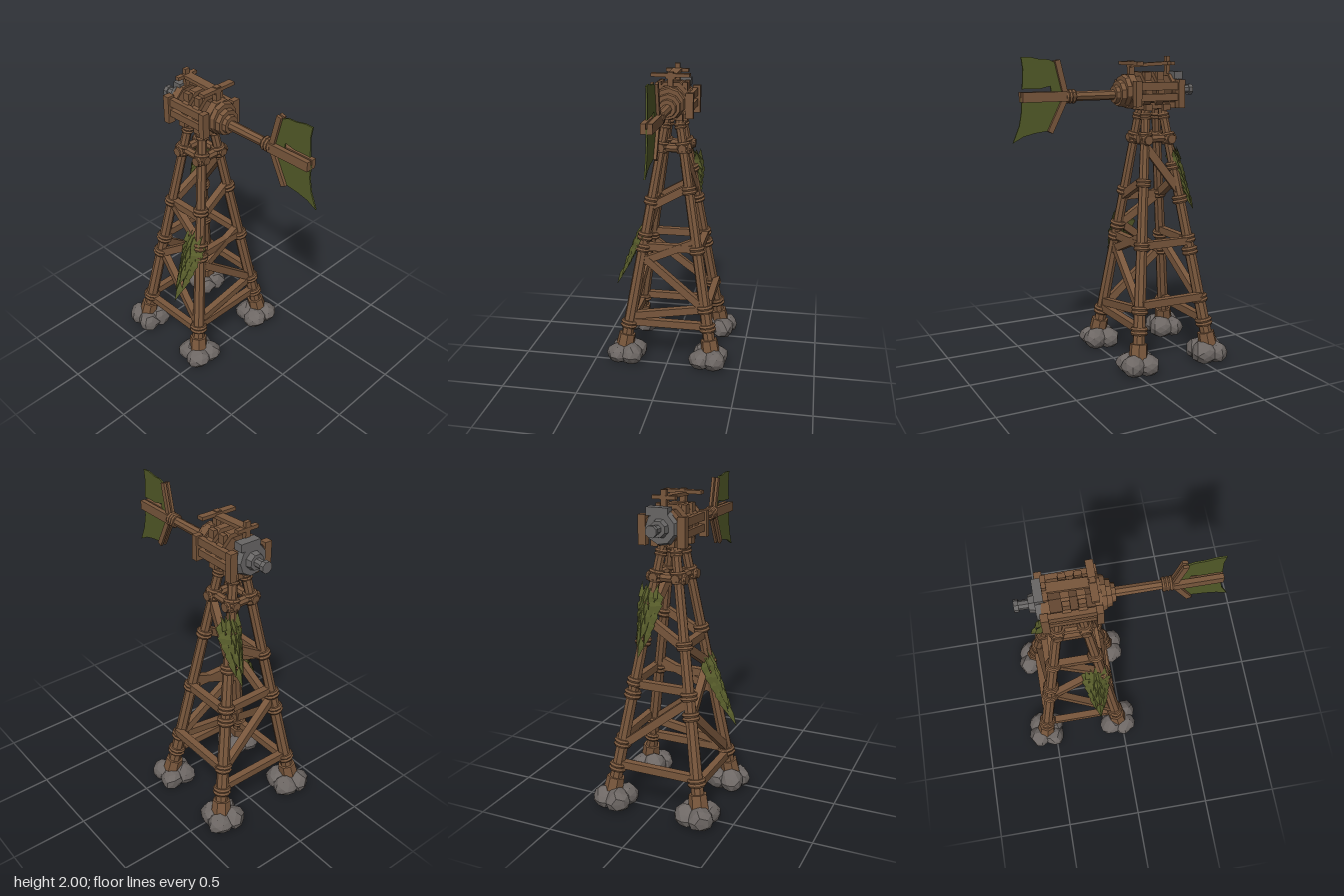
import * as THREE from 'three';

const mat = (name, color, side = THREE.FrontSide) => {
  const m = new THREE.MeshStandardMaterial({ color, flatShading: true, side });
  m.name = name;
  return m;
};
const V = (x, y, z) => new THREE.Vector3(x, y, z);

export function createModel() {
  const model = new THREE.Group();
  model.name = 'windPump';
  const wood = mat('wood', 0x79573c);
  const darkWood = mat('darkWood', 0x5e432e);
  const stone = mat('stone', 0x6d6764);
  const metal = mat('metal', 0x686665);
  const leaf = mat('leaf', 0x585d2b, THREE.DoubleSide);
  const cloth = mat('cloth', 0x525a28, THREE.DoubleSide);

  const add = (name, geo, material, parent = model) => {
    const m = new THREE.Mesh(geo, material);
    m.name = name;
    parent.add(m);
    return m;
  };
  const box = (name, sx, sy, sz, x, y, z, material = wood) => {
    const m = add(name, new THREE.BoxGeometry(sx, sy, sz), material);
    m.position.set(x, y, z);
    return m;
  };
  // Round pole between two points
  const pole = (name, a, b, r0, r1 = r0, sides = 8, material = wood) => {
    const d = b.clone().sub(a);
    const m = add(name, new THREE.CylinderGeometry(r1, r0, d.length(), sides), material);
    m.position.copy(a).lerp(b, 0.5);
    m.quaternion.setFromUnitVectors(V(0, 1, 0), d.normalize());
    return m;
  };
  // Squared timber between two points
  const timber = (name, a, b, w, h) => {
    const m = add(name, new THREE.BoxGeometry(w, h, a.distanceTo(b)), wood);
    m.position.copy(a).lerp(b, 0.5);
    m.lookAt(b);
    return m;
  };
  // Rope coils around an axis
  const coils = (name, at, dir, r, count = 2, tube = 0.015) => {
    for (let i = 0; i < count; i++) {
      const m = add(name, new THREE.TorusGeometry(r, tube, 6, 10), wood);
      m.position.copy(at).addScaledVector(dir, (i - (count - 1) / 2) * tube * 1.7);
      m.quaternion.setFromUnitVectors(V(0, 0, 1), dir);
    }
  };

  // Point on a leg's centre line; sx and sz pick the corner
  const leg = (sx, sz, y) => {
    const t = (y - 0.15) / 1.5;
    return V(sx < 0 ? -0.555 + 0.22 * t : -0.035 - 0.175 * t, y, sz * (0.29 - 0.245 * t));
  };
  const wraps = {
    '-1,1': [0.26, 0.66, 0.78, 1.08], '1,1': [0.26, 0.8, 0.88, 1.12],
    '-1,-1': [0.26, 0.42, 0.74, 0.82, 1.08, 1.3], '1,-1': [0.27, 0.4, 0.8, 1.2],
  };
  for (const sx of [-1, 1]) for (const sz of [-1, 1]) {
    const dir = leg(sx, sz, 1.6).sub(leg(sx, sz, 0.2)).normalize();
    pole('leg', leg(sx, sz, 0.1), leg(sx, sz, 1.7), 0.042, 0.029);
    pole('legFoot', leg(sx, sz, 0.09), leg(sx, sz, 0.19), 0.064, 0.058, 7);
    for (const y of wraps[`${sx},${sz}`]) coils('legBinding', leg(sx, sz, y), dir, 0.046 - y * 0.008);
    coils('topBinding', leg(sx, sz, 1.48), dir, 0.036, 3, 0.014);
    coils('neckBinding', leg(sx, sz, 1.62), dir, 0.028, 2, 0.012);

    // Four fused boulders at the foot
    const c = leg(sx, sz, 0.12);
    for (let k = 0; k < 4; k++) {
      const geo = new THREE.IcosahedronGeometry(1, 1);
      const p = geo.attributes.position;
      for (let i = 0; i < p.count; i++) {
        const v = V().fromBufferAttribute(p, i);
        const n = Math.sin(Math.round(v.x * 50) * 1.7 + Math.round(v.y * 50) * 2.3 + Math.round(v.z * 50) * 3.1 + k * 2 + sx + sz * 3);
        v.multiplyScalar(1 + 0.09 * n);
        p.setXYZ(i, v.x, Math.max(v.y, -0.75), v.z);
      }
      const m = add('footBoulder', geo, stone);
      const a = Math.PI / 4 + k * Math.PI / 2 + 0.1;
      const h = 0.072 + (k % 2) * 0.007;
      m.scale.set(0.08, h, 0.08);
      m.position.set(c.x + Math.cos(a) * 0.064, h * 0.75, c.z * 0.965 + Math.sin(a) * 0.064);
    }
  }

  // Braces: two corners with the height on each, and an optional outward z shift
  const braces = [
    // front face
    [-1, 1, 0.24, 1, 1, 0.24], [-1, 1, 1.08, 1, 1, 1.08], [-1, 1, 0.68, 1, 1, 0.28],
    [-1, 1, 0.64, 1, 1, 0.9], [-1, 1, 1.08, 1, 1, 0.88],
    // back face
    [-1, -1, 0.44, 1, -1, 0.44, -0.03], [-1, -1, 0.81, 1, -1, 0.81, -0.015], [-1, -1, 1.14, 1, -1, 1.44],
    // right side
    [-1, 1, 0.28, -1, -1, 0.28], [-1, 1, 0.81, -1, -1, 0.81], [-1, 1, 0.75, -1, -1, 0.4],
    [-1, 1, 1.07, -1, -1, 1.22],
    // left side
    [1, 1, 0.28, 1, -1, 0.28], [1, 1, 0.32, 1, -1, 0.4], [1, 1, 0.81, 1, -1, 0.81],
    [1, 1, 0.75, 1, -1, 0.4], [1, 1, 0.7, 1, -1, 0.86], [1, 1, 1.08, 1, -1, 1.22],
  ];
  for (const [ax, az, ay, bx, bz, by, shift = 0] of braces)
    timber('brace', leg(ax, az, ay).add(V(0, 0, shift)), leg(bx, bz, by).add(V(0, 0, shift)), 0.045, 0.05);

  // Square collar near the tower top, with knotted ends
  for (const s of [-1, 1]) {
    const f = leg(-1, s, 1.48), g = leg(1, s, 1.48), e = leg(s, 1, 1.48);
    pole('topCollar', V(f.x - 0.05, 1.48, f.z), V(g.x + 0.05, 1.48, g.z), 0.028);
    pole('topCollar', V(e.x, 1.475, 0.13), V(e.x, 1.475, -0.13), 0.03);
    for (const z of [-0.1, 0.1]) coils('collarKnot', V(e.x, 1.475, z), V(0, 0, 1), 0.026, 2, 0.012);
  }

  // Gear house: slatted drum lying along x
  const cy = 1.785;
  const drum = (name, x0, x1, r0, r1, material = wood, sides = 8, y = cy) => {
    const m = pole(name, V(x0, y, 0), V(x1, y, 0), r0, r1, sides, material);
    m.rotateY(Math.PI / sides);
  };
  drum('drumCore', -0.4, -0.1, 0.1, 0.1, darkWood);
  for (const [x, w, r] of [[-0.4, 0.05, 0.112], [-0.285, 0.05, 0.128], [-0.195, 0.05, 0.128], [-0.105, 0.045, 0.112]])
    drum('drumHoop', x - w / 2, x + w / 2, r, r);
  drum('drumShoulder', -0.085, -0.055, 0.105, 0.098, wood, 10);
  drum('tailSocket', -0.06, -0.025, 0.085, 0.08, wood, 10, 1.77);
  drum('tailSocket', -0.03, 0, 0.06, 0.055, wood, 10, 1.765);
  for (const s of [-1, 1]) {
    box('sideSlat', 0.29, 0.05, 0.035, -0.255, 1.815, s * 0.12);
    box('sideSlat', 0.29, 0.045, 0.035, -0.255, 1.745, s * 0.12);
    box('endPlank', 0.045, 0.18, 0.05, -0.415, 1.765, s * 0.127);
    box('endPlank', 0.04, 0.16, 0.05, -0.105, 1.77, s * 0.127);
    for (const x of [-0.285, -0.195]) box('bandPlank', 0.045, 0.09, 0.03, x, 1.86, s * 0.085);
    box('saddleBeam', 0.3, 0.04, 0.045, -0.27, 1.69, s * 0.055);
  }
  for (const x of [-0.335, -0.205]) box('saddleCross', 0.05, 0.04, 0.2, x, 1.68, 0);

  // Roof rail
  box('railPost', 0.026, 0.15, 0.035, -0.39, 1.925, 0);
  box('railPost', 0.035, 0.1, 0.035, -0.125, 1.925, 0);
  timber('railPlank', V(-0.4, 1.957, 0), V(-0.11, 1.943, 0), 0.06, 0.022);
  box('railCross', 0.045, 0.022, 0.25, -0.125, 1.957, 0);
  box('railCross', 0.03, 0.022, 0.15, -0.39, 1.955, 0);

  // Metal bearing and shaft
  drum('bearingPlate', -0.455, -0.42, 0.095, 0.11, metal, 9);
  drum('bearingHub', -0.49, -0.45, 0.05, 0.06, metal);
  drum('shaft', -0.56, -0.45, 0.028, 0.028, metal);
  drum('shaftCap', -0.573, -0.545, 0.037, 0.037, metal);
  box('bearingBracket', 0.06, 0.05, 0.14, -0.425, 1.88, -0.02, metal);

  // Tail boom and vane
  pole('tailBoom', V(-0.02, 1.762, 0), V(0.36, 1.76, 0), 0.032, 0.029);
  coils('boomBinding', V(0.3, 1.76, 0), V(1, 0, 0), 0.033, 3, 0.013);
  for (const s of [-1, 1]) {
    box('tailPlank', 0.29, 0.06, 0.03, 0.475, 1.762, s * 0.02);
    timber('vaneStrut', V(0.335, 1.77, s * 0.014), V(0.388, 1.98, s * 0.014), 0.018, 0.034);
    timber('vaneStrut', V(0.335, 1.755, s * 0.014), V(0.44, 1.545, s * 0.014), 0.018, 0.034);
  }
  const vane = (name, pts) => {
    const shape = new THREE.Shape(pts.map(([x, y]) => new THREE.Vector2(x, y)));
    add(name, new THREE.ExtrudeGeometry(shape, { depth: 0.01, bevelEnabled: false }), cloth).position.z = -0.005;
  };
  vane('upperVane', [[0.345, 1.77], [0.395, 1.965], [0.44, 1.985], [0.5, 1.987], [0.56, 2], [0.615, 1.998],
    [0.605, 1.93], [0.612, 1.81], [0.56, 1.812], [0.5, 1.81], [0.43, 1.825], [0.42, 1.77]]);
  vane('lowerVane', [[0.345, 1.76], [0.62, 1.76], [0.618, 1.68], [0.635, 1.59], [0.677, 1.49], [0.61, 1.525],
    [0.54, 1.542], [0.44, 1.555], [0.4, 1.64]]);

  // Hanging foliage: overlapping broad leaves on a tapering fall, facing local +z
  const foliage = (name, length, reach, width) => {
    const group = new THREE.Group();
    group.name = name;
    const pos = [];
    const surf = (u, t) => {
      const w = width * Math.max(0, Math.min(0.55 + t, 1.02 - 0.98 * t));
      return V(u * w, -length * t, reach * (0.15 + 0.85 * t) - 0.06 * u * u * (1 - t));
    };
    const counts = [4, 5, 4, 3, 2, 1];
    counts.forEach((n, r) => {
      for (let k = 0; k < n; k++) {
        const u = n === 1 ? 0 : (k / (n - 1)) * 2 - 1;
        const t = r * 0.135 + 0.015 * Math.sin(k * 5 + r * 3);
        const a = surf(u * 0.7, t);
        const mid = surf(u * 0.8, t + 0.13);
        const tip = surf(u, t + 0.32);
        tip.x += u * 0.01;
        const hw = width * (0.46 - r * 0.03);
        const l = V(mid.x - hw, mid.y, mid.z - 0.018), q = V(mid.x + hw, mid.y, mid.z - 0.018);
        mid.z += 0.014;
        for (const p of [a, l, mid, mid, l, tip, a, mid, q, mid, tip, q]) pos.push(p.x, p.y, p.z);
      }
    });
    // Tufts standing up at the top
    for (let k = -2; k <= 2; k++) {
      const x = k * width * 0.25;
      pos.push(x - 0.025, -0.06, reach * 0.22, x + 0.025, -0.06, reach * 0.22, x * 1.4, 0.03 + 0.015 * Math.cos(k * 4), 0);
    }
    const geo = new THREE.BufferGeometry();
    geo.setAttribute('position', new THREE.Float32BufferAttribute(pos, 3));
    geo.computeVertexNormals();
    add('leaves', geo, leaf, group);
    model.add(group);
    return group;
  };
  foliage('frontFoliage', 0.45, 0.21, 0.095).position.set(-0.16, 0.95, 0.17);
  const rear = foliage('rearFoliage', 0.41, 0.16, 0.085);
  rear.position.set(-0.375, 1.41, -0.105);
  rear.rotation.y = -Math.PI / 2 - 0.1;

  return model;
}
